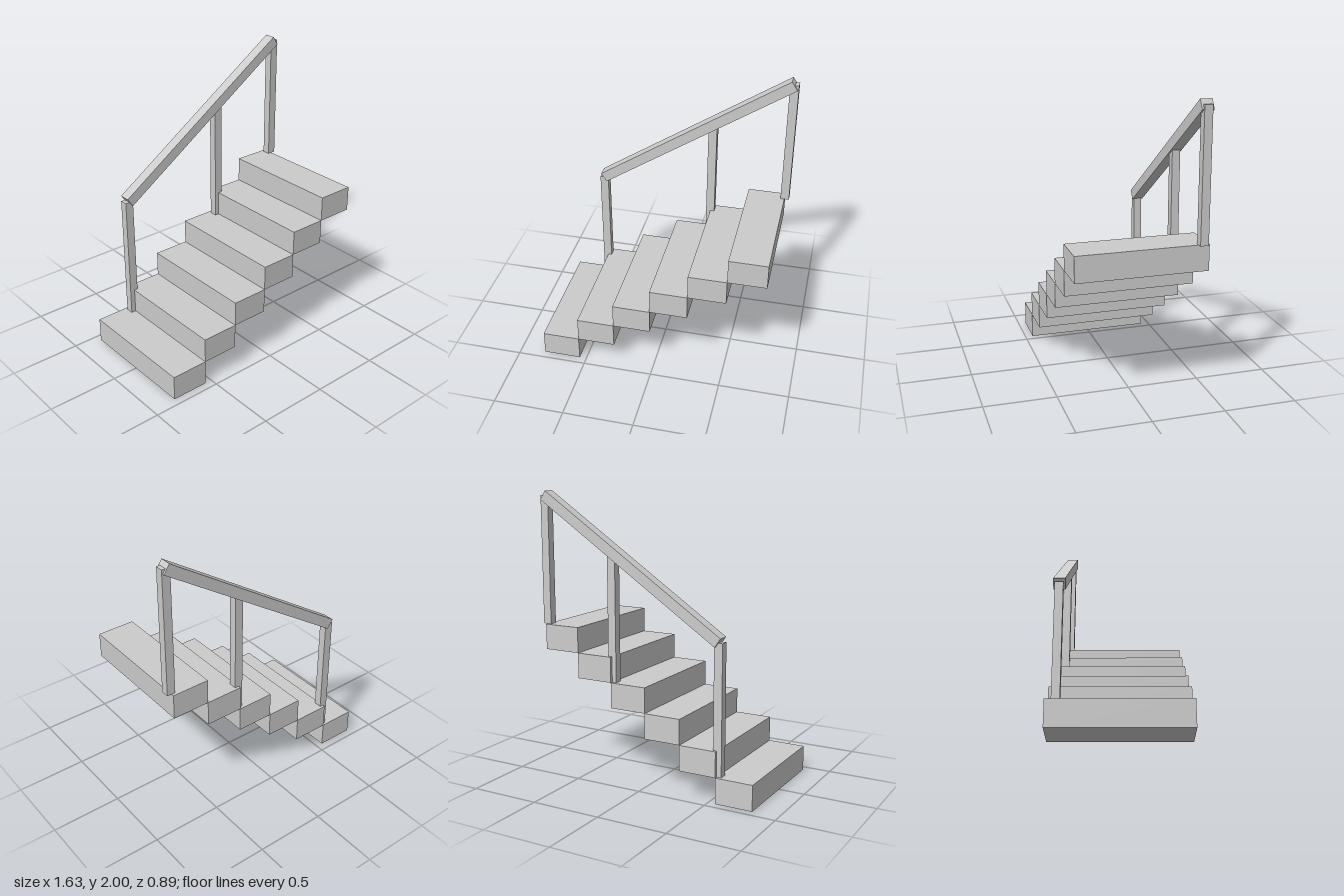
import * as THREE from 'three';

const material = new THREE.MeshStandardMaterial({ color: 0xcccccc, flatShading: true });

function addBox(parent, name, size, position) {
  const mesh = new THREE.Mesh(new THREE.BoxGeometry(...size), material);
  mesh.name = name;
  mesh.position.set(...position);
  parent.add(mesh);
  return mesh;
}

export function createModel() {
  const group = new THREE.Group();
  group.name = 'staircase';

  // Steps: solid blocks meeting edge to edge
  const count = 6, run = 0.267, rise = 0.179, width = 0.89, startX = -0.817;
  for (let i = 0; i < count; i++) {
    addBox(group, `step${i + 1}`, [run, rise, width],
      [startX + (i + 0.5) * run, (i + 0.5) * rise, 0]);
  }

  // Railing along the back edge
  const railing = new THREE.Group();
  railing.name = 'railing';
  railing.position.z = -0.397;
  group.add(railing);

  // Posts, each standing on a step
  const postHeight = 0.895;
  [[-0.554, 1], [0.25, 4], [0.787, 6]].forEach(([x, step], i) => {
    addBox(railing, `post${i + 1}`, [0.06, postHeight, 0.056],
      [x, step * rise + postHeight / 2, 0]);
  });

  // Sloping handrail joining the post tops
  const low = new THREE.Vector2(-0.554, 1.076);
  const high = new THREE.Vector2(0.79, 1.969);
  const rail = addBox(railing, 'handrail', [low.distanceTo(high), 0.074, 0.08],
    [(low.x + high.x) / 2, (low.y + high.y) / 2, 0]);
  rail.rotation.z = Math.atan2(high.y - low.y, high.x - low.x);

  return group;
}
